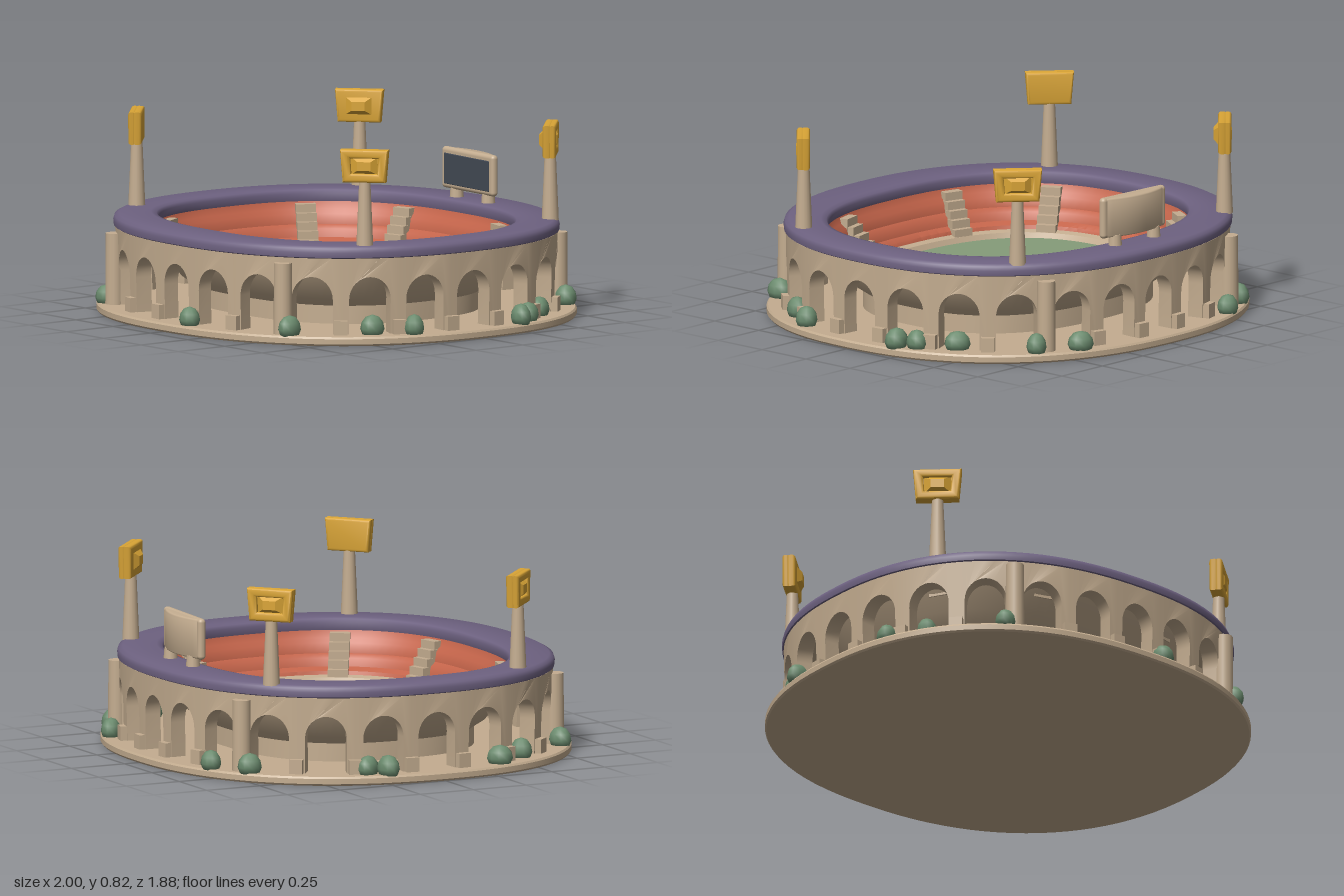
import * as THREE from 'three';
import { mergeGeometries, toCreasedNormals } from 'three/addons/utils/BufferGeometryUtils.js';
import { RoundedBoxGeometry } from 'three/addons/geometries/RoundedBoxGeometry.js';

const paint = (name, color) => Object.assign(new THREE.MeshStandardMaterial({ color }), { name });

// Roundness of the outer walls, the bowl and the pitch
const OUT = 2.3, IN = 2.5, PITCH = 2.6;

// Point on a rounded oval (superellipse)
function oval(rx, rz, n, t) {
  const c = Math.cos(t), s = Math.sin(t), p = 2 / n;
  return [rx * Math.sign(c) * Math.abs(c) ** p, rz * Math.sign(s) * Math.abs(s) ** p];
}

// Sweep a profile of [rx, rz, y, n] around the oval; up the outside, down the inside
function sweep(profile, crease = 0.6, segs = 96) {
  const pos = [], idx = [];
  for (const [rx, rz, y, n] of profile) {
    for (let i = 0; i <= segs; i++) {
      const [x, z] = oval(rx, rz, n, ((i % segs) / segs) * Math.PI * 2);
      pos.push(x, y, z);
    }
  }
  for (let r = 0; r < profile.length - 1; r++) {
    for (let i = 0; i < segs; i++) {
      const a = r * (segs + 1) + i, b = a + 1, c = a + segs + 1, d = c + 1;
      if (profile[r + 1][0] > 0) idx.push(b, c, d);
      if (profile[r][0] > 0) idx.push(a, c, b);
    }
  }
  const g = new THREE.BufferGeometry();
  g.setAttribute('position', new THREE.Float32BufferAttribute(pos, 3));
  g.setIndex(idx);
  return toCreasedNormals(g, crease);
}

// Facade point and outward normal at a compass angle from the middle of the front
function facade(angle) {
  const rx = 0.918, rz = 0.858, s = Math.sin(angle), c = Math.cos(angle);
  const r = (Math.abs(s / rx) ** OUT + Math.abs(c / rz) ** OUT) ** (-1 / OUT);
  const nx = Math.sign(s) * Math.abs(r * s / rx) ** (OUT - 1) / rx;
  const nz = Math.sign(c) * Math.abs(r * c / rz) ** (OUT - 1) / rz;
  const l = Math.hypot(nx, nz);
  return { x: r * s, z: r * c, nx: nx / l, nz: nz / l, yaw: Math.atan2(nx, nz) };
}

export function createModel() {
  const stone = paint('stone', 0xc4ad90), purple = paint('roofPurple', 0x6e6281), red = paint('seatRed', 0xc4644a);
  const grass = paint('grass', 0x869c7a), leaf = paint('leaf', 0x6b8b6e), gold = paint('lampGold', 0xdaa536);
  const dark = paint('screenDark', 0x424954);

  const model = new THREE.Group();
  model.name = 'stadium';
  const add = (name, geo, mat, parent = model) => {
    const m = new THREE.Mesh(geo, mat);
    m.name = name;
    parent.add(m);
    return m;
  };

  // Ground slab
  add('base', sweep([[0, 0, 0, OUT], [0.994, 0.934, 0, OUT], [1, 0.94, 0.008, OUT], [1, 0.94, 0.03, OUT],
    [0.994, 0.934, 0.038, OUT], [0, 0, 0.038, OUT]]), stone);

  // Roof ring with rounded rims, and its underside
  add('roof', sweep([[0.92, 0.86, 0.358, OUT], [0.93, 0.87, 0.364, OUT], [0.932, 0.872, 0.385, OUT],
    [0.927, 0.867, 0.402, OUT], [0.91, 0.85, 0.411, OUT], [0.78, 0.69, 0.412, IN], [0.758, 0.668, 0.407, IN],
    [0.75, 0.66, 0.392, IN], [0.757, 0.667, 0.36, IN]], 0.9), purple);
  add('roofUnderside', sweep([[0.757, 0.667, 0.36, IN], [0.92, 0.86, 0.358, OUT]]), stone);

  // Bowl: outer shell, three tiers of seats, inner kerb and pitch
  add('bowlShell', sweep([[0.615, 0.525, 0.035, IN], [0.615, 0.525, 0.115, IN], [0.665, 0.575, 0.15, IN],
    [0.725, 0.635, 0.235, IN], [0.785, 0.695, 0.362, IN]]), stone);
  add('seats', sweep([[0.764, 0.674, 0.375, IN], [0.752, 0.662, 0.328, IN], [0.727, 0.637, 0.31, IN],
    [0.719, 0.629, 0.268, IN], [0.694, 0.604, 0.252, IN], [0.684, 0.594, 0.218, IN], [0.655, 0.565, 0.204, IN],
    [0.648, 0.558, 0.183, IN]], 0.8), red);
  add('kerb', sweep([[0.655, 0.565, 0.19, IN], [0.62, 0.53, 0.182, IN], [0.605, 0.515, 0.155, PITCH]]), stone);
  add('pitch', sweep([[0.612, 0.522, 0.16, PITCH], [0, 0, 0.164, PITCH]]), grass);

  // Stairs through the seats, two on each side
  const steps = [];
  for (const deg of [29, 69.5, 110.5, 151, 209, 249.5, 290.5, 331]) {
    const t = THREE.MathUtils.degToRad(deg);
    const a = oval(0.64, 0.55, IN, t), b = oval(0.74, 0.65, IN, t);
    const e = oval(0.64, 0.55, IN, t + 0.03);
    const yaw = Math.atan2(e[1] - a[1], -(e[0] - a[0]));
    for (let k = 0; k < 5; k++) {
      const f = k / 4, top = 0.214 + 0.138 * f;
      const box = new THREE.BoxGeometry(0.085, 0.055, 0.04);
      box.rotateY(yaw);
      box.translate(a[0] + (b[0] - a[0]) * f, top - 0.0275, a[1] + (b[1] - a[1]) * f);
      steps.push(box);
    }
  }
  add('stairs', mergeGeometries(steps), stone);

  // Arcade: one arched bay, bent round the oval 24 times
  const bays = 24, step = (Math.PI * 2) / bays, bay = 0.236;
  const shape = new THREE.Shape(), h = bay / 2, w = 0.085, foot = 0.035, spring = 0.185, top = 0.36;
  shape.moveTo(-h, foot);
  shape.lineTo(-w, foot);
  shape.lineTo(-w, spring);
  for (let i = 1; i <= 16; i++) {
    const t = Math.PI * (1 - i / 16);
    shape.lineTo(w * Math.cos(t), spring + 0.096 * Math.sin(t));
  }
  shape.lineTo(w, foot);
  shape.lineTo(h, foot);
  for (let i = 0; i <= 6; i++) shape.lineTo(h - (i / 6) * bay, top);
  const bayGeo = new THREE.ExtrudeGeometry(shape, { depth: 0.07, bevelEnabled: false });
  const arcade = [], plinths = [];
  for (let i = 0; i < bays; i++) {
    const g = bayGeo.clone(), p = g.attributes.position;
    for (let v = 0; v < p.count; v++) {
      const q = facade((i + p.getX(v) / bay) * step), y = p.getY(v);
      const off = p.getZ(v) - 0.072 + 0.009 * (y / top);
      p.setXYZ(v, q.x + q.nx * off, y, q.z + q.nz * off);
    }
    arcade.push(g);
    // Plinth at the foot of each column
    const q = facade((i + 0.5) * step);
    const block = new THREE.BoxGeometry(0.056, 0.065, 0.05);
    block.rotateY(q.yaw);
    block.translate(q.x + q.nx * 0.002, 0.066, q.z + q.nz * 0.002);
    plinths.push(block);
  }
  add('arcade', toCreasedNormals(mergeGeometries(arcade), 0.6), stone);
  add('plinths', mergeGeometries(plinths), stone);

  // Round pilasters standing proud at the four corners
  for (const i of [2.5, 9.5, 14.5, 21.5]) {
    const q = facade(i * step);
    const m = add('pilaster', new THREE.CylinderGeometry(0.038, 0.04, 0.3, 16), stone);
    m.position.set(q.x + q.nx * 0.015, 0.188, q.z + q.nz * 0.015);
  }

  // Floodlights: tapered post and a framed lamp panel
  const frame = new THREE.Shape();
  frame.moveTo(-0.08, -0.056).lineTo(0.08, -0.056).lineTo(0.09, 0.059).lineTo(-0.09, 0.059).closePath();
  const hole = new THREE.Path();
  hole.moveTo(-0.066, -0.042).lineTo(-0.072, 0.046).lineTo(0.072, 0.046).lineTo(0.066, -0.042).closePath();
  const plate = frame.clone();
  frame.holes.push(hole);
  const bevel = { bevelEnabled: true, bevelSize: 0.012, bevelThickness: 0.012, bevelSegments: 3 };
  const lampFrame = toCreasedNormals(new THREE.ExtrudeGeometry(frame, { depth: 0.008, ...bevel }), 0.9);
  const lampPlate = toCreasedNormals(new THREE.ExtrudeGeometry(plate, { depth: 0.014, ...bevel }), 0.9);
  const lampLens = toCreasedNormals(new THREE.CylinderGeometry(0.035, 0.074, 0.024, 4, 1).rotateY(Math.PI / 4)
    .scale(1.15, 1, 0.76).rotateX(Math.PI / 2), 0.4);
  for (const [x, z] of [[-0.645, -0.64], [0.635, -0.64], [-0.76, 0.465], [0.765, 0.46]]) {
    const light = new THREE.Group();
    light.name = 'floodlight';
    light.position.set(x, 0, z);
    light.rotation.y = Math.atan2(Math.sign(x) * 0.68, Math.sign(z) * 0.74);
    add('lightPost', new THREE.CylinderGeometry(0.023, 0.036, 0.3, 16), stone, light).position.y = 0.555;
    add('lampPlate', lampPlate, gold, light).position.set(0, 0.745, -0.015);
    add('lampFrame', lampFrame, gold, light).position.set(0, 0.745, 0.01);
    add('lampLens', lampLens, gold, light).position.set(0, 0.747, 0.02);
    if (z < 0) {
      const back = add('lampLensInner', lampLens, gold, light);
      back.position.set(0, 0.747, -0.034);
      back.rotation.y = Math.PI;
    }
    model.add(light);
  }

  // Scoreboard with a bowed back, a flat screen and two feet
  const board = new THREE.Group();
  board.name = 'scoreboard';
  board.position.set(0.005, 0, -0.718);
  board.rotation.y = -0.05;
  add('boardCase', new RoundedBoxGeometry(0.37, 0.175, 0.034, 4, 0.016), stone, board).position.set(0, 0.533, 0.005);
  const bow = new THREE.Shape();
  bow.moveTo(-0.17, 0).quadraticCurveTo(0, 0.075, 0.17, 0).closePath();
  const bowGeo = new THREE.ExtrudeGeometry(bow, { depth: 0.14, curveSegments: 20, bevelEnabled: true,
    bevelSize: 0.01, bevelThickness: 0.014, bevelSegments: 3 });
  bowGeo.rotateX(-Math.PI / 2);
  add('boardBack', toCreasedNormals(bowGeo, 0.7), stone, board).position.y = 0.463;
  add('boardScreen', new RoundedBoxGeometry(0.32, 0.13, 0.008, 2, 0.003), dark, board).position.set(0, 0.53, 0.0225);
  for (const s of [-1, 1]) {
    add('boardFoot', new THREE.CylinderGeometry(0.026, 0.03, 0.05, 12), stone, board).position.set(s * 0.113, 0.433, -0.008);
  }
  model.add(board);

  // Shrubs round the foot of the arcade
  const shrub = new THREE.LatheGeometry([[0, 0], [0.036, 0], [0.045, 0.025], [0.04, 0.052], [0.025, 0.073], [0, 0.082]]
    .map(([x, y]) => new THREE.Vector2(x, y)), 10);
  [[-0.46, -0.83], [-0.63, -0.735], [0.45, -0.83], [0.62, -0.735], [-0.89, -0.31], [-0.94, -0.24], [0.9, -0.31],
    [0.945, -0.235], [-0.905, 0.305], [0.91, 0.31], [-0.615, 0.74], [0.61, 0.74], [0.12, 0.885], [0.81, 0.455],
    [0.8, -0.45], [-0.81, 0.455]]
    .forEach(([x, z], i) => {
      const m = add('shrub', shrub, leaf);
      m.position.set(x, 0.034, z);
      m.rotation.y = i * 1.3;
      m.scale.set(1.05 + 0.1 * (i % 3), 1 + 0.06 * (i % 2), 0.95);
    });

  return model;
}
